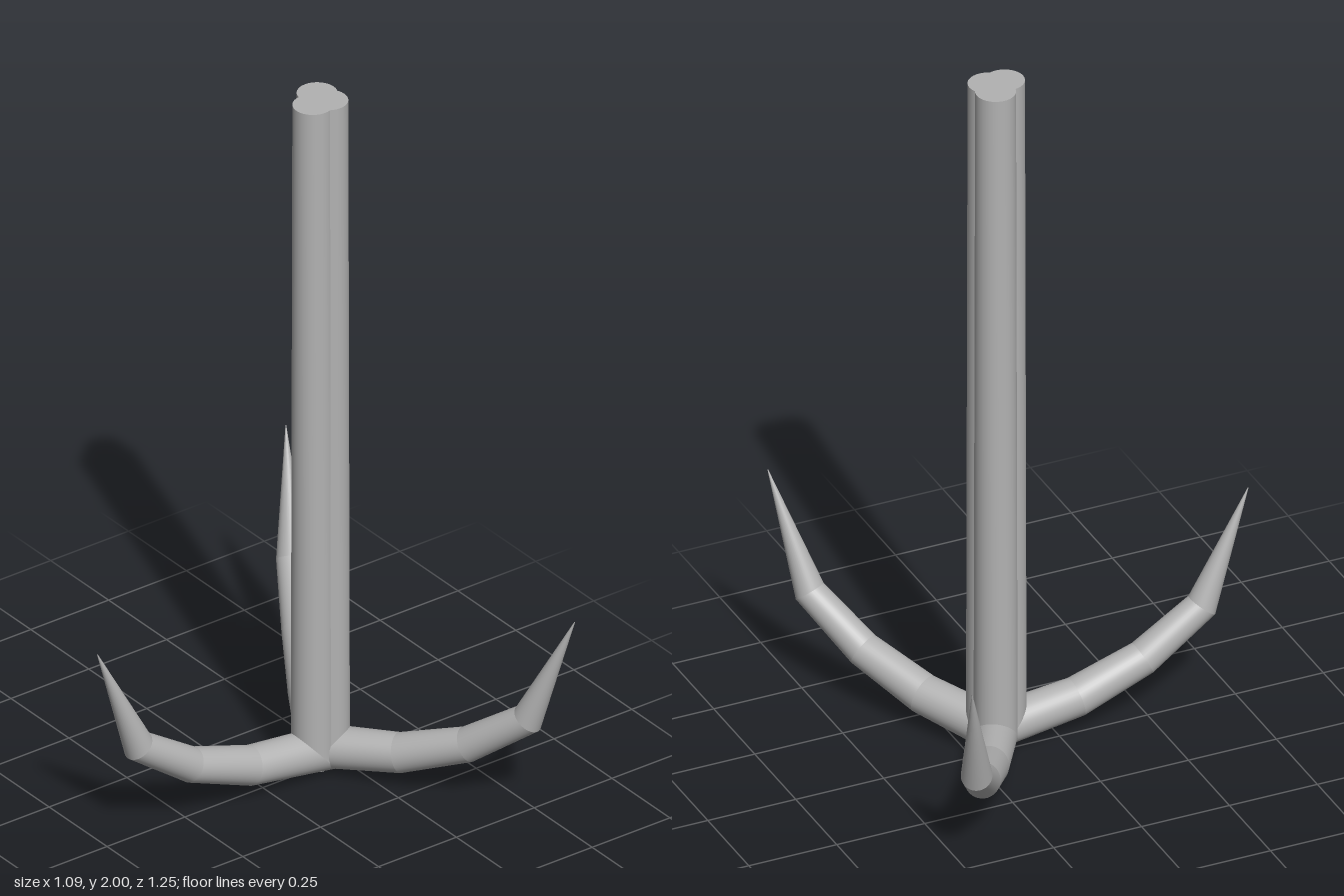
import * as THREE from 'three';

const SIDES = 36;
const steel = new THREE.MeshStandardMaterial({ color: 0xb2b2b2 });
steel.name = 'steel';

// Centre line of one bent rod: outward distance, height, radius
const PATH = [
  [0, 2, 0.053],
  [0, 0.066, 0.057],
  [0.203, 0.095, 0.053],
  [0.392, 0.164, 0.047],
  [0.561, 0.28, 0.041],
  [0.693, 0.6, 0.001],
];

// Unit normal of path segment i, lying in the bending plane
function segmentNormal(i) {
  const k = Math.min(Math.max(i, 0), PATH.length - 2);
  const dx = PATH[k + 1][0] - PATH[k][0];
  const dy = PATH[k + 1][1] - PATH[k][1];
  return new THREE.Vector2(-dy, dx).normalize();
}

// Mitred ring of points at joint i
function ring(i) {
  const [x, y, r] = PATH[i];
  const a = segmentNormal(i - 1);
  const b = segmentNormal(i);
  const miter = a.clone().add(b).divideScalar(1 + a.dot(b));
  const points = [];
  for (let j = 0; j < SIDES; j++) {
    const t = (j / SIDES) * Math.PI * 2;
    const c = r * Math.cos(t);
    points.push(x + miter.x * c, y + miter.y * c, r * Math.sin(t));
  }
  return points;
}

// One straight piece between two joints, smooth around and crisp at its ends
function segment(i) {
  const index = [];
  for (let j = 0; j < SIDES; j++) {
    const k = (j + 1) % SIDES;
    index.push(j, k, j + SIDES, k, k + SIDES, j + SIDES);
  }
  const geometry = new THREE.BufferGeometry();
  geometry.setAttribute('position', new THREE.Float32BufferAttribute([...ring(i), ...ring(i + 1)], 3));
  geometry.setIndex(index);
  geometry.computeVertexNormals();
  return geometry;
}

function addMesh(parent, geometry, name) {
  const mesh = new THREE.Mesh(geometry, steel);
  mesh.name = name;
  parent.add(mesh);
  return mesh;
}

// Shank rod, curved arm and pointed tip
function createHook(name, x, z, angle) {
  const hook = new THREE.Group();
  hook.name = name;
  const names = ['shankRod', 'armRoot', 'armMiddle', 'armEnd', 'spike'];
  names.forEach((part, i) => addMesh(hook, segment(i), part));
  const cap = addMesh(hook, new THREE.CircleGeometry(PATH[0][2], SIDES), 'shankCap');
  cap.rotation.x = -Math.PI / 2;
  cap.position.y = 2;
  hook.position.set(x, 0, z);
  hook.rotation.y = angle;
  return hook;
}

export function createModel() {
  const model = new THREE.Group();
  model.name = 'grapplingHook';
  model.add(
    createHook('rightHook', 0.148, 0.018, Math.PI),
    createHook('backHook', 0.193, -0.024, Math.PI / 3),
    createHook('frontHook', 0.193, 0.022, -Math.PI / 3),
  );
  return model;
}
